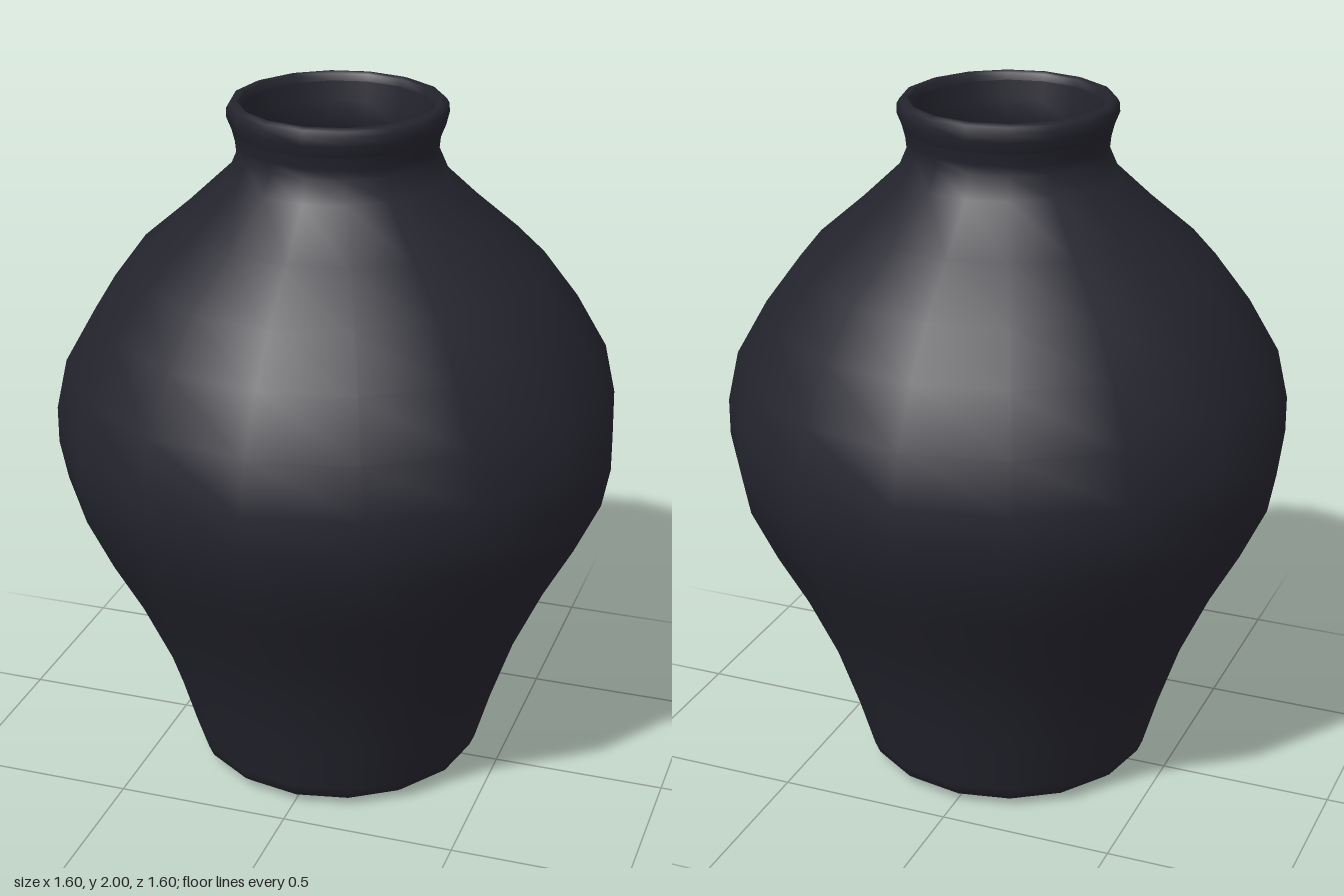
import * as THREE from 'three';

const SIDES = 16;

export function createModel() {
  const glaze = new THREE.MeshStandardMaterial({ color: 0x24242e });
  glaze.name = 'dark glaze';

  const group = new THREE.Group();
  group.name = 'vase';

  // Turns a profile of [radius, height] pairs around the y axis
  const turn = (name, profile) => {
    const points = profile.map(([r, y]) => new THREE.Vector2(r, y));
    const mesh = new THREE.Mesh(new THREE.LatheGeometry(points, SIDES), glaze);
    mesh.name = name;
    group.add(mesh);
  };

  // Underside
  turn('base', [[0, 0], [0.36, 0]]);

  // Outer wall: rounded foot, flared body, shoulder and neck
  turn('body', [
    [0.36, 0], [0.39, 0.015], [0.415, 0.035], [0.43, 0.07],
    [0.475, 0.22], [0.537, 0.4], [0.62, 0.58], [0.705, 0.735],
    [0.778, 0.89], [0.8, 1.005], [0.8, 1.11], [0.768, 1.255],
    [0.68, 1.41], [0.58, 1.545], [0.44, 1.667], [0.305, 1.795],
    [0.279, 1.855], [0.282, 1.885], [0.291, 1.92],
  ]);

  // Rolled lip
  turn('lip', [
    [0.291, 1.92], [0.305, 1.955], [0.304, 1.98], [0.296, 1.994],
    [0.28, 2], [0.27, 1.994], [0.264, 1.975],
  ]);

  // Hollow inside, from the lip down to the floor
  turn('interior', [
    [0.264, 1.975], [0.256, 1.92], [0.25, 1.87], [0.262, 1.79],
    [0.4, 1.64], [0.54, 1.52], [0.635, 1.39], [0.72, 1.24],
    [0.75, 1.1], [0.75, 1.01], [0.73, 0.9], [0.66, 0.75],
    [0.575, 0.6], [0.49, 0.41], [0.43, 0.23], [0.39, 0.09],
    [0.35, 0.05], [0, 0.05],
  ]);

  return group;
}
